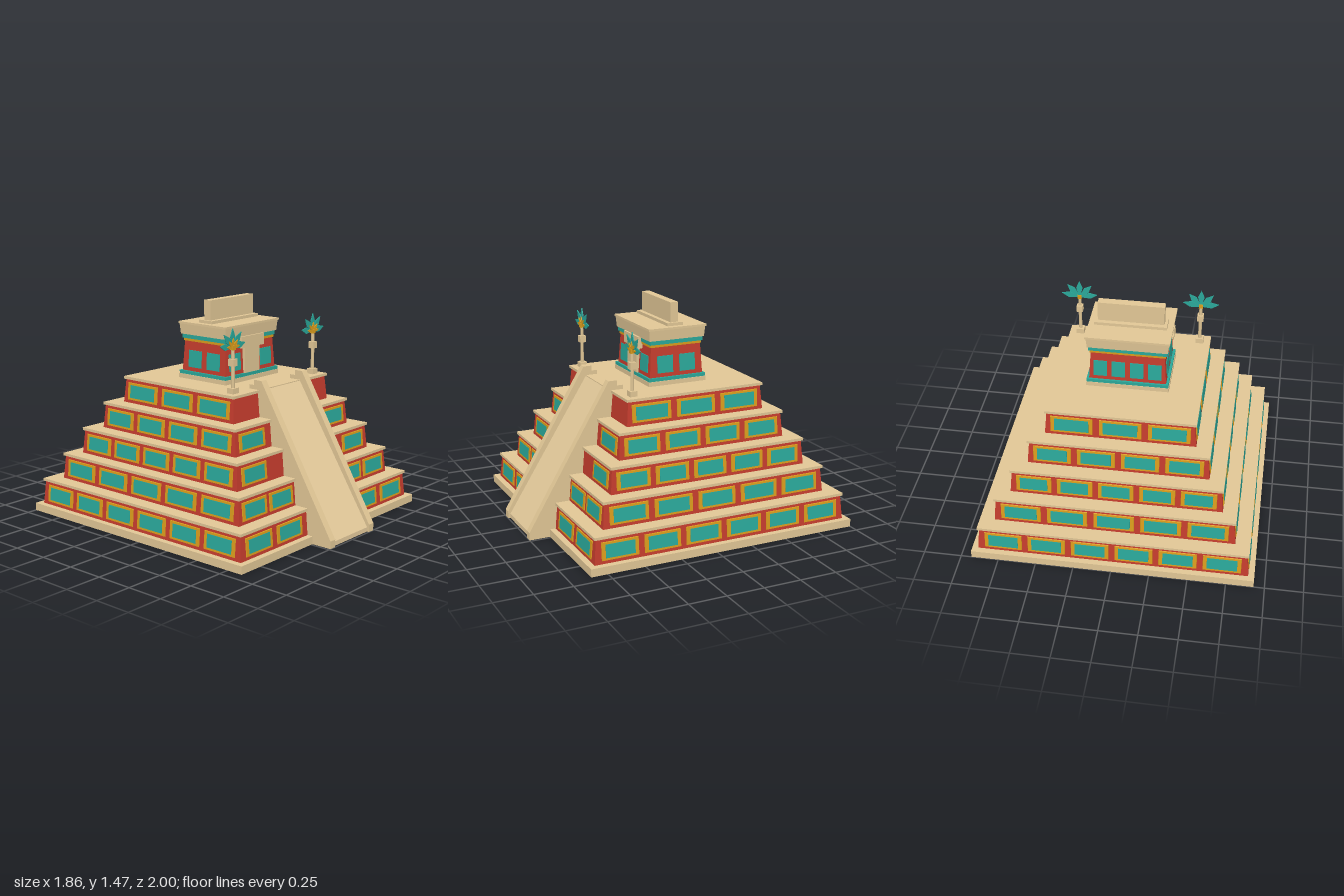
import * as THREE from 'three';

const mat = (name, color) => {
  const m = new THREE.MeshStandardMaterial({ color });
  m.name = name;
  return m;
};

// Box of height h standing on y = 0 whose top may be smaller or larger than its bottom (half sizes)
function frustum(w0, d0, w1, d1, h) {
  const g = new THREE.BoxGeometry(2, h, 2).toNonIndexed();
  g.translate(0, h / 2, 0);
  const p = g.attributes.position;
  for (let i = 0; i < p.count; i++) {
    const top = p.getY(i) > h / 2;
    p.setX(i, p.getX(i) * (top ? w1 : w0));
    p.setZ(i, p.getZ(i) * (top ? d1 : d0));
  }
  g.computeVertexNormals();
  return g;
}

export function createModel() {
  const stone = mat('sandstone', 0xe0c695);
  const pale = mat('pale sandstone', 0xe6cc9c);
  const red = mat('red plaster', 0xc43c2d);
  const ochre = mat('ochre', 0xd99c1c);
  const teal = mat('teal', 0x2aa799);

  const model = new THREE.Group();
  model.name = 'steppedPyramid';

  const add = (parent, name, geo, material, x = 0, y = 0, z = 0) => {
    const m = new THREE.Mesh(geo, material);
    m.name = name;
    m.position.set(x, y, z);
    parent.add(m);
    return m;
  };
  const block = (parent, name, material, w, d, y0, y1, z = 0, w1 = w, d1 = d) =>
    add(parent, name, frustum(w, d, w1, d1, y1 - y0), material, 0, y0, z);

  // Thin bevelled panel lying on a leaning wall; "out" is the wall distance from the centre
  function panel(face, x, y, out, tilt, w, h, framed) {
    const g = new THREE.Group();
    g.name = 'wallPanel';
    g.position.set(x, y, out);
    g.rotation.x = -tilt;
    face.add(g);
    const plate = (name, m, pw, ph, depth, bevel) => {
      const geo = frustum(pw / 2, ph / 2, pw / 2 - bevel, ph / 2 - bevel, depth);
      geo.rotateX(Math.PI / 2);
      add(g, name, geo, m, 0, 0, -0.004);
    };
    if (framed) plate('panelFrame', ochre, w, h, 0.0095, 0.004);
    const inset = framed ? 0.034 : 0;
    plate('panelInlay', teal, w - inset * 1.6, h - inset, framed ? 0.012 : 0.01, 0.001);
  }
  const makeFace = (parent, name, turn) => {
    const f = new THREE.Group();
    f.name = name;
    f.rotation.y = turn * Math.PI / 2;
    parent.add(f);
    return f;
  };
  const faceNames = ['frontPanels', 'leftPanels', 'backPanels', 'rightPanels'];

  // Pyramid body: plinth hollow underneath, then five leaning tiers with ledges
  const body = new THREE.Group();
  body.name = 'pyramidBody';
  body.position.z = -0.07;
  model.add(body);
  block(body, 'plinthTop', stone, 0.93, 0.93, 0.048, 0.052);
  for (let k = 0; k < 4; k++) {
    const side = makeFace(body, 'plinthSide', k);
    block(side, 'plinthRim', stone, 0.93, 0.002, 0, 0.048, 0.928);
  }

  const tiers = [
    { half: 0.888, n: 6, front: [0.415, 0.712], frontW: 0.255 },
    { half: 0.788, n: 5, front: [0.376, 0.636], frontW: 0.238 },
    { half: 0.692, n: 5, front: [0.525], frontW: 0.245 },
    { half: 0.59, n: 4, front: [0.425], frontW: 0.255 },
    { half: 0.489, n: 3, front: [], frontW: 0 },
  ];
  const step = 0.1765;
  tiers.forEach(({ half, n, front, frontW }, i) => {
    const y = 0.052 + i * step;
    const tier = new THREE.Group();
    tier.name = 'tier' + (i + 1);
    body.add(tier);
    const wallH = step - 0.018;
    block(tier, 'tierWall', red, half + 0.002, half + 0.002, y, y + wallH, 0, half - 0.012, half - 0.012);
    block(tier, 'tierLedge', stone, half, half, y + wallH, y + step);
    const tilt = Math.atan(0.014 / wallH);
    const pitch = 2 * half * 0.97 / n;
    faceNames.forEach((name, k) => {
      const face = makeFace(tier, name, k);
      const xs = k === 0
        ? front.flatMap(x => [x, -x])
        : Array.from({ length: n }, (_, j) => (j - (n - 1) / 2) * pitch);
      const w = k === 0 ? frontW : pitch * 0.88;
      xs.forEach(x => panel(face, x, y + 0.078, half - 0.005, tilt, w, 0.122, true));
    });
  });

  // Stair ramp and its side walls, extruded from side profiles given as (z, y)
  const stairs = new THREE.Group();
  stairs.name = 'stairway';
  model.add(stairs);
  const sideSlab = (name, pts, width, material, x) => {
    const s = new THREE.Shape(pts.map(([z, y]) => new THREE.Vector2(-z, y)));
    const g = new THREE.ExtrudeGeometry(s, { depth: width, bevelEnabled: false });
    g.translate(0, 0, -width / 2);
    g.rotateY(Math.PI / 2);
    return add(stairs, name, g, material, x);
  };
  sideSlab('stairRamp', [[0.985, 0], [0.985, 0.03], [0.416, 0.934], [0.375, 0.9], [0.375, 0]], 0.376, pale, 0);
  for (const s of [-1, 1]) {
    sideSlab('stairSideWall', [
      [1, 0], [1, 0.05], [0.434, 0.996], [0.376, 0.996],
      [0.376, 0.962], [0.335, 0.962], [0.335, 0],
    ], 0.05, stone, s * 0.212);
  }

  // Temple on the summit
  const temple = new THREE.Group();
  temple.name = 'temple';
  temple.position.z = -0.043;
  model.add(temple);
  block(temple, 'templeBase', stone, 0.273, 0.208, 0.93, 0.964);
  block(temple, 'baseBand', teal, 0.269, 0.205, 0.964, 0.986);
  block(temple, 'templeWall', red, 0.253, 0.191, 0.986, 1.186, 0, 0.241, 0.179);
  block(temple, 'ochreBand', ochre, 0.247, 0.185, 1.186, 1.204);
  block(temple, 'tealBand', teal, 0.255, 0.19, 1.204, 1.232);
  block(temple, 'cornice', stone, 0.262, 0.197, 1.232, 1.302, 0, 0.268, 0.203);
  block(temple, 'roofSlab', stone, 0.275, 0.208, 1.302, 1.316);
  block(temple, 'crestBase', stone, 0.236, 0.057, 1.316, 1.336);
  block(temple, 'roofCrest', stone, 0.217, 0.027, 1.336, 1.468);
  block(temple, 'doorway', stone, 0.075, 0.02, 0.986, 1.157, 0.184);
  block(temple, 'doorLintel', stone, 0.114, 0.02, 1.157, 1.234, 0.191);
  const templePanels = [
    [-0.158, 0.158], [-0.08, 0.08], [-0.178, -0.06, 0.06, 0.178], [-0.08, 0.08],
  ];
  faceNames.forEach((name, k) => {
    const face = makeFace(temple, name, k);
    const out = k % 2 ? 0.247 : 0.185;
    const w = k === 2 ? 0.09 : 0.114;
    templePanels[k].forEach(x => panel(face, x, 1.069, out, 0.06, w, 0.115, false));
  });

  // Plumed standards at the front corners of the summit
  const leafGeo = (len, wide) => {
    const s = new THREE.Shape([
      new THREE.Vector2(0, -0.005), new THREE.Vector2(len * 0.55, -wide / 2),
      new THREE.Vector2(len, 0), new THREE.Vector2(len * 0.55, wide / 2), new THREE.Vector2(0, 0.005),
    ]);
    const g = new THREE.ExtrudeGeometry(s, { depth: 0.006, bevelEnabled: false });
    return g.translate(0.008, 0, -0.003);
  };
  const plume = leafGeo(0.115, 0.044);
  const smallPlume = leafGeo(0.055, 0.02);
  for (const s of [-1, 1]) {
    const st = new THREE.Group();
    st.name = s > 0 ? 'leftStandard' : 'rightStandard';
    st.position.set(s * 0.415, 0, 0.35);
    model.add(st);
    block(st, 'standardBase', stone, 0.027, 0.025, 0.93, 0.97);
    add(st, 'standardPole', new THREE.CylinderGeometry(0.011, 0.012, 0.26, 8), stone, 0, 1.1, 0);
    block(st, 'standardBlock', stone, 0.021, 0.021, 1.11, 1.155);
    block(st, 'plumeSocket', ochre, 0.014, 0.013, 1.212, 1.24);
    [10, 48, 90, 132, 170].forEach(a => {
      const r = THREE.MathUtils.degToRad(a);
      add(st, 'plume', plume, teal, 0, 1.225, -0.003).rotation.z = r;
      add(st, 'plumeHeart', smallPlume, ochre, 0, 1.225, 0.003).rotation.z = r;
    });
  }
  return model;
}
